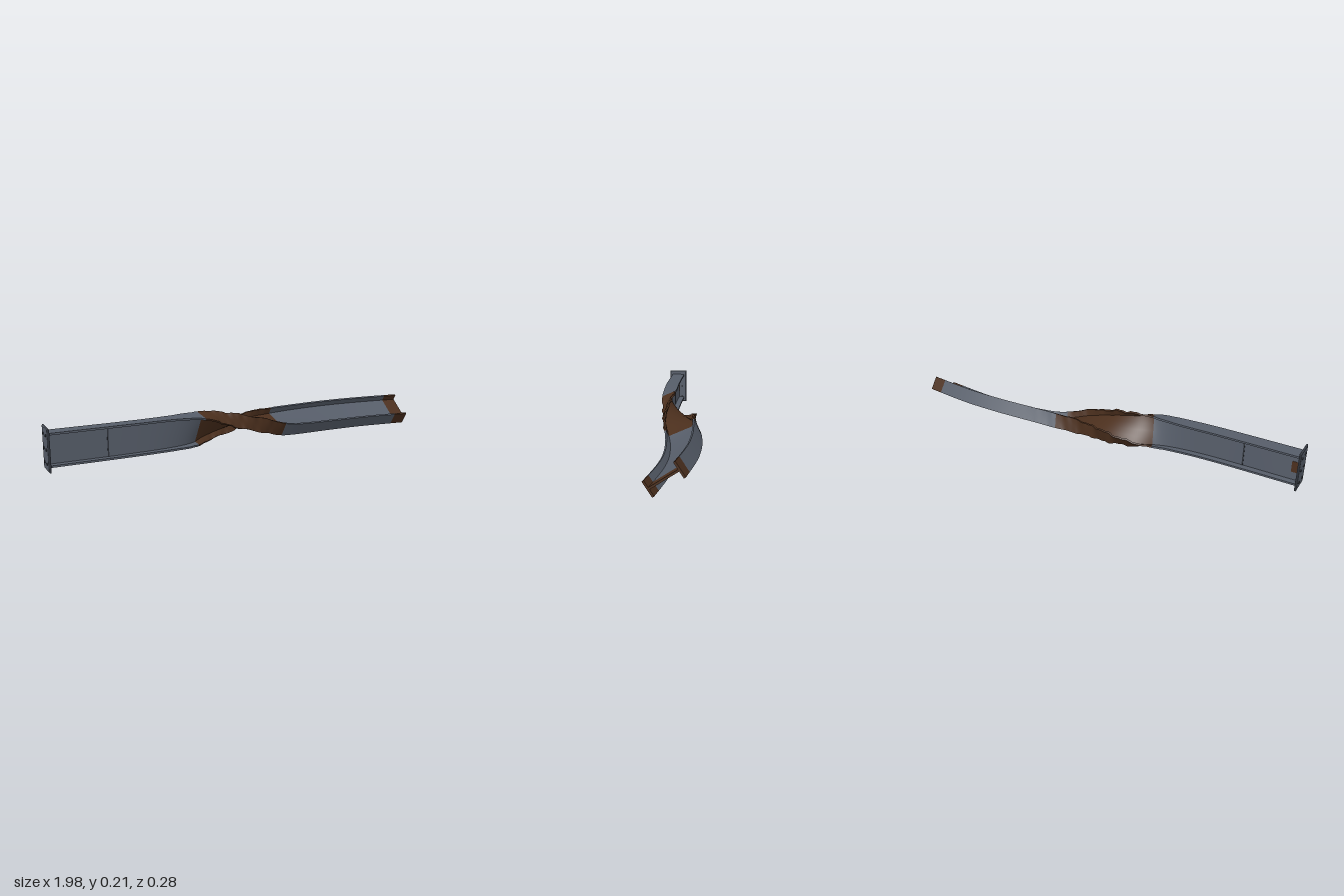
import * as THREE from 'three';

const mat = (name, color) => {
  const m = new THREE.MeshStandardMaterial({ color });
  m.name = name;
  return m;
};

// Beam axis: x, y, z, twist in degrees (the top turns towards +z)
const KEYS = [
  [-1, 0.115, 0.087, 0], [-0.6, 0.115, 0.086, 0], [-0.42, 0.115, 0.076, 3], [-0.3, 0.115, 0.058, 15],
  [-0.2, 0.112, 0.025, 42], [-0.1, 0.108, 0.008, 64], [0.05, 0.1, -0.008, 92], [0.2, 0.083, -0.034, 114],
  [0.32, 0.079, -0.048, 121], [0.52, 0.077, -0.06, 124], [0.72, 0.076, -0.055, 124], [1, 0.075, -0.024, 124],
];

// Smooth interpolation through the keys
function sample(x, c) {
  let i = 0;
  while (i < KEYS.length - 2 && x > KEYS[i + 1][0]) i++;
  const slope = (k) => {
    const a = KEYS[Math.max(k - 1, 0)], b = KEYS[Math.min(k + 1, KEYS.length - 1)];
    return (b[c] - a[c]) / (b[0] - a[0]);
  };
  const p = KEYS[i], q = KEYS[i + 1], h = q[0] - p[0], t = (x - p[0]) / h;
  const s = t * t * (3 - 2 * t);
  return p[c] * (1 - s) + q[c] * s + h * t * (1 - t) * ((1 - t) * slope(i) - t * slope(i + 1));
}

// Point on the section at x; w runs across the flange, u along the depth
function place(x, w, u) {
  const e = 0.01, y = sample(x, 1), z = sample(x, 2), a = THREE.MathUtils.degToRad(sample(x, 3));
  const dy = (sample(x + e, 1) - sample(x - e, 1)) / (2 * e);
  const dz = (sample(x + e, 2) - sample(x - e, 2)) / (2 * e);
  // Crumpled flange edges around the twist
  const crumple = Math.exp(-(((x + 0.05) / 0.2) ** 2));
  const edge = Math.min(1, Math.abs(w) / 0.035);
  const side = Math.sign(w) + Math.sign(u) * 2;
  u += crumple * edge * (0.004 * Math.sin(x * 70 + side * 1.7) + 0.0025 * Math.sin(x * 151 + side));
  w += crumple * 0.003 * Math.sin(x * 45 + side * 2) * edge;
  const oy = u * Math.cos(a) - w * Math.sin(a), oz = u * Math.sin(a) + w * Math.cos(a);
  return [x - oy * dy - oz * dz, y + oy, z + oz];
}

const W = 0.035, H = 0.075, T = 0.0045, F = 0.066;
const PROFILE = [
  [-W, -H], [W, -H], [W, -F], [T, -F], [T, F], [W, F],
  [W, H], [-W, H], [-W, F], [-T, F], [-T, -F], [-W, -F],
];

// Length of beam from x0 to x1, one smooth strip per profile edge
function beam(name, x0, x1, material, capped) {
  const pos = [], idx = [], n = Math.max(6, Math.ceil((x1 - x0) / 0.01)), parts = 4;
  PROFILE.forEach((p, k) => {
    const q = PROFILE[(k + 1) % PROFILE.length], base = pos.length / 3;
    for (let i = 0; i <= n; i++) {
      const x = x0 + ((x1 - x0) * i) / n;
      for (let j = 0; j <= parts; j++) {
        const t = j / parts;
        pos.push(...place(x, p[0] + (q[0] - p[0]) * t, p[1] + (q[1] - p[1]) * t));
        if (i < n && j < parts) {
          const a = base + i * (parts + 1) + j, b = a + parts + 1;
          idx.push(a, b, a + 1, a + 1, b, b + 1);
        }
      }
    }
  });
  if (capped) {
    const base = pos.length / 3;
    PROFILE.forEach(([w, u]) => pos.push(...place(x1, w, u)));
    const outline = PROFILE.map(([w, u]) => new THREE.Vector2(w, u));
    THREE.ShapeUtils.triangulateShape(outline, []).forEach(([a, b, c]) => idx.push(base + a, base + c, base + b));
  }
  const g = new THREE.BufferGeometry();
  g.setAttribute('position', new THREE.Float32BufferAttribute(pos, 3));
  g.setIndex(idx);
  g.computeVertexNormals();
  const m = new THREE.Mesh(g, material);
  m.name = name;
  return m;
}

export function createModel() {
  const group = new THREE.Group();
  group.name = 'twistedBeam';
  const steel = mat('steel', 0x565d69), rust = mat('rust', 0x4b2f1d), dark = mat('darkSteel', 0x30343b);
  const add = (name, geometry, material, x, y, z) => {
    const m = new THREE.Mesh(geometry, material);
    m.name = name;
    m.position.set(x, y, z);
    group.add(m);
    return m;
  };

  group.add(
    beam('straightBeam', -0.988, -0.28, steel, false),
    beam('rustyTwist', -0.28, 0.19, rust, false),
    beam('bentBeam', 0.19, 0.9, steel, false),
    beam('rustyBrokenEnd', 0.9, 0.972, rust, true),
  );

  // End plate with bevelled rim
  const s = new THREE.Shape([[-0.046, -0.092], [0.046, -0.092], [0.046, 0.092], [-0.046, 0.092]]
    .map(([a, b]) => new THREE.Vector2(a, b)));
  const plate = new THREE.ExtrudeGeometry(s, {
    depth: 0.004, bevelEnabled: true, bevelSize: 0.004, bevelThickness: 0.003, bevelSegments: 1,
  });
  plate.rotateY(Math.PI / 2);
  add('endPlate', plate, steel, -0.992, 0.117, 0.089);

  // Bolts through the plate, heads on both faces
  const head = new THREE.CylinderGeometry(0.006, 0.006, 0.018, 6).rotateZ(Math.PI / 2);
  for (const z of [0.064, 0.11])
    for (const y of [0.055, 0.117, 0.179]) add('plateBolt', head, dark, -0.99, y, z);

  // Seam lines and a rust patch on the web
  for (const side of [-1, 1])
    add('webSeam', new THREE.BoxGeometry(0.006, 0.132, 0.003), dark, -0.725, 0.115, 0.087 + side * 0.005);
  add('webRustPatch', new THREE.BoxGeometry(0.03, 0.055, 0.002), rust, -0.965, 0.115, 0.082);

  return group;
}
